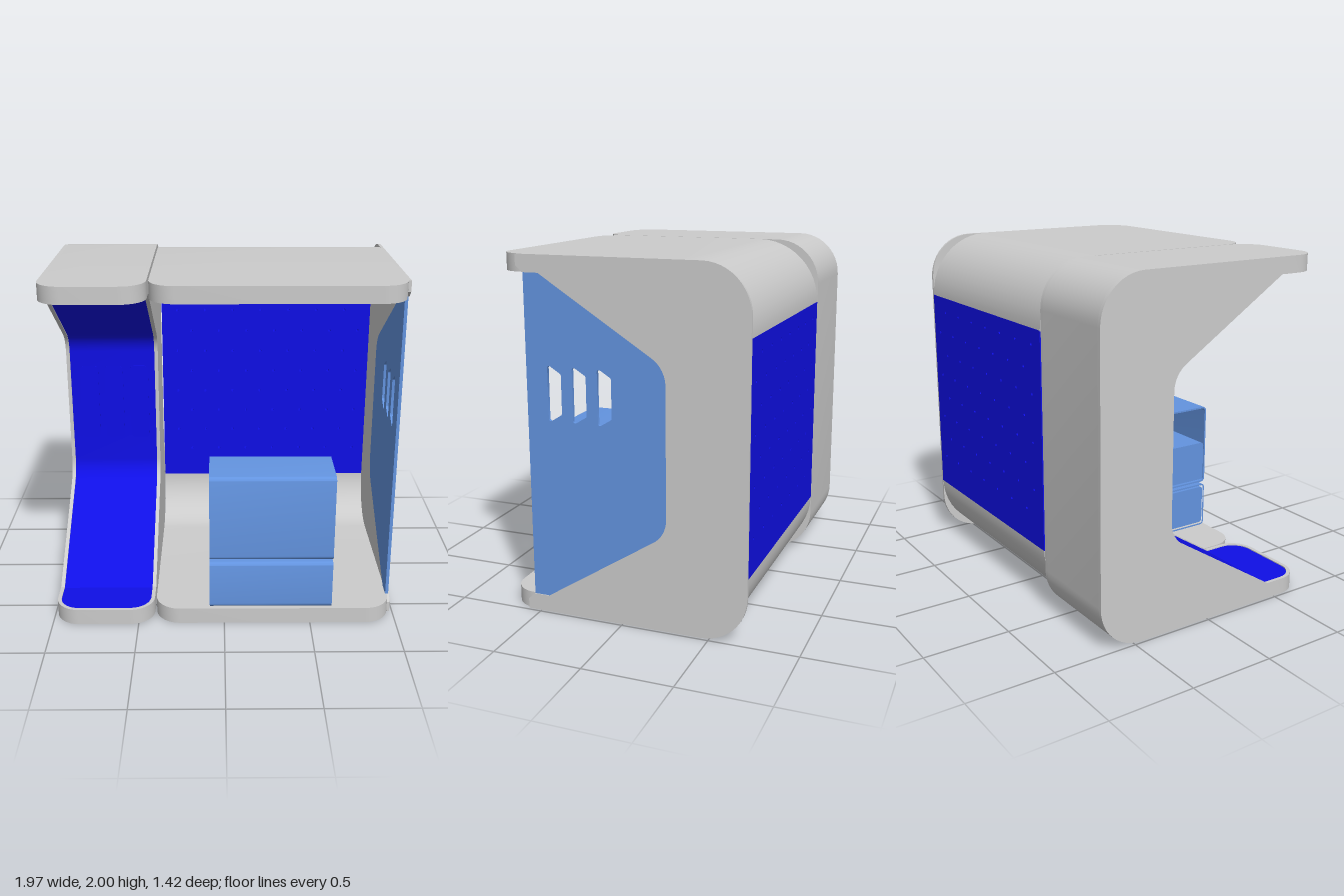
import * as THREE from 'three';
import { toCreasedNormals } from 'three/addons/utils/BufferGeometryUtils.js';

const grey = new THREE.MeshStandardMaterial({ color: 0xcccccc });
const blue = new THREE.MeshStandardMaterial({ color: 0x0f0fe6 });
const lightBlue = new THREE.MeshStandardMaterial({ color: 0x6394e0 });

// Polyline with circular corners: each corner is [a, b, radius?]
function fillet(corners) {
  const out = [];
  corners.forEach(([a, b, r], i) => {
    const p = new THREE.Vector2(a, b);
    if (!r) { out.push(p); return; }
    const next = corners[(i + 1) % corners.length], prev = corners[i - 1];
    const u = new THREE.Vector2(prev[0], prev[1]).sub(p).normalize();
    const v = new THREE.Vector2(next[0], next[1]).sub(p).normalize();
    const turn = Math.PI - Math.acos(THREE.MathUtils.clamp(u.dot(v), -1, 1));
    const t = r * Math.tan(turn / 2), h = t - r * 4 / 3 * Math.tan(turn / 4);
    const at = (d, s) => p.clone().addScaledVector(d, s);
    out.push(...new THREE.CubicBezierCurve(at(u, t), at(u, h), at(v, h), at(v, t)).getPoints(12));
  });
  return out;
}

function rect(a0, b0, a1, b1, r) {
  return fillet([[(a0 + a1) / 2, b0], [a1, b0, r], [a1, b1, r], [a0, b1, r], [a0, b0, r]]);
}

function extrude(points, depth, holes = []) {
  const shape = new THREE.Shape(points);
  shape.holes = holes.map((h) => new THREE.Path(h));
  return toCreasedNormals(new THREE.ExtrudeGeometry(shape, { depth, bevelEnabled: false }), 0.5);
}

// Side profile in (z, y), swept from x0 to x1
function alongX(points, x0, x1, holes = []) {
  const flip = (list) => list.map((p) => new THREE.Vector2(-p.x, p.y));
  return extrude(flip(points), x1 - x0, holes.map(flip)).rotateY(Math.PI / 2).translate(x0, 0, 0);
}

// Plan outline in (x, z), raised from y0 to y1
function alongY(points, y0, y1) {
  const flipped = points.map((p) => new THREE.Vector2(p.x, -p.y));
  return extrude(flipped, y1 - y0).rotateX(-Math.PI / 2).translate(0, y0, 0);
}

// Plan outline of a slab end with two rounded front corners
const slabPlan = (x0, x1, z0, z1, r) => fillet([[x0, z0], [x0, z1, r], [x1, z1, r], [x1, z0]]);

// Tapered opening seen from the side, set back by d
const opening = (d) => fillet([
  [0.5, 0.095 - d], [0.45 - 0.3 * d, 0.095 - d], [-0.26 - d, 0.55 - 0.4 * d, 0.164],
  [-0.26 - d, 1.45 + 0.4 * d, 0.164], [0.45 - 0.3 * d, 1.905 + d], [0.5, 1.905 + d]]);

export function createModel() {
  const model = new THREE.Group();
  const add = (name, geometry, material, parent = model) => {
    const mesh = new THREE.Mesh(geometry, material);
    mesh.name = name;
    parent.add(mesh);
    return mesh;
  };
  const group = (name) => {
    const g = new THREE.Group();
    g.name = name;
    model.add(g);
    return g;
  };

  // Narrow booth: solid C body, raised side rims, blue lining
  const booth = group('narrowBooth');
  const xa = -0.985, xb = -0.41, rim = 0.022, d = 0.012;
  const back = fillet([[0.5, 2], [-0.71, 2, 0.26], [-0.71, 0, 0.26], [0.5, 0]]);
  add('boothCore', alongX([...opening(d), ...back], xa + rim, xb - rim), grey, booth);
  for (const x of [xa, xb - rim])
    add('boothSideRim', alongX([...opening(0), ...back], x, x + rim), grey, booth);
  add('boothLining', alongX([...opening(0.006), ...opening(d).reverse()], xa + rim, xb - rim), blue, booth);
  const outer = slabPlan(xa, xb, 0.5, 0.71, 0.14);
  const inner = slabPlan(xa + rim, xb - rim, 0.5, 0.71 - rim, 0.118);
  const level = (top, y0, y1) => (top ? [2 - y1, 2 - y0] : [y0, y1]);
  for (const top of [false, true]) {
    const end = top ? 'Ceiling' : 'Floor';
    add(`booth${end}Slab`, alongY(outer, ...level(top, 0, 0.083)), grey, booth);
    add(`booth${end}Rim`, alongY([...outer, ...[...inner].reverse()], ...level(top, 0.083, 0.095)), grey, booth);
    add(`booth${end}Lining`, alongY(inner, ...level(top, 0.083, 0.089)), blue, booth);
  }
  // Three upright back cushions
  for (const x of [-0.905, -0.75, -0.59])
    add('backCushion', extrude(rect(x, 0.79, x + 0.115, 1.27, 0.025), 0.008).translate(0, 0, -0.269), blue, booth);

  // Wide room: shell with rounded back, open at the front
  const room = group('wideRoom');
  const x0 = -0.4, x1 = 0.97;
  for (const top of [false, true]) {
    const m = (y) => (top ? 2 - y : y);
    const end = top ? 'ceiling' : 'floor';
    const curve = fillet([[0.3, m(0)], [-0.71, m(0), 0.37], [-0.71, m(0.375)], [-0.62, m(0.375)],
      [-0.62, m(0.095), 0.275], [0.3, m(0.095)]]);
    add(`${end}Curve`, alongX(curve, x0, x1), grey, room);
    add(`${end}Slab`, alongY(slabPlan(x0, x1, 0.3, 0.7, 0.145), ...level(top, 0, 0.095)), grey, room);
  }

  // Back panel with staggered round holes
  const holes = [];
  for (let row = 0; row < 8; row++)
    for (let i = 0; i < 7; i++) {
      const dot = new THREE.Path();
      dot.absarc(-0.3 + i * 0.183 + (row % 2) * 0.0915, 1.54 - row * 0.139, 0.009, 0, Math.PI * 2, true);
      holes.push(dot.getPoints(4).slice(0, -1));
    }
  const backRect = [[x0, 0.37], [x1, 0.37], [x1, 1.63], [x0, 1.63]].map((p) => new THREE.Vector2(...p));
  add('perforatedBackPanel', extrude(backRect, 0.092, holes).translate(0, 0, -0.711), blue, room);

  // End wall framing a slotted panel
  const wall = fillet([[0.58, 0], [-0.71, 0, 0.26], [-0.71, 2, 0.26], [0.58, 2], [0.58, 1.94], [0.54, 1.905],
    [0.45, 1.905], [-0.26, 1.45, 0.164], [-0.26, 0.55, 0.164], [0.45, 0.095], [0.54, 0.095], [0.58, 0.06]]);
  add('endWall', alongX(wall, 0.968, 0.985), grey, room);
  const slots = [0.335, 0.19, 0.045].map((z) => fillet([
    [z + 0.08, 1.27], [z + 0.08, 1.425, 0.012], [z, 1.375, 0.015], [z, 1.155, 0.015], [z + 0.08, 1.105, 0.012]]));
  const panel = fillet([[0.54, 0.095], [0.45, 0.095], [-0.26, 0.55, 0.164], [-0.26, 1.45, 0.164],
    [0.45, 1.905], [0.54, 1.905]]);
  add('slottedEndPanel', alongX(panel, 0.962, 0.98, slots), lightBlue, room);

  // Cabinet: lower box in a closed sleeve, upper box in a wrap with a top lip
  const cabinet = group('cabinet');
  const c0 = -0.085, c1 = 0.625, t = 0.01;
  add('lowerSleeve', alongX(rect(0.25, 0.097, 0.69, 0.387, 0.025), c0, c1,
    [rect(0.25 + t, 0.097 + t, 0.69 - t, 0.387 - t, 0.015)]), lightBlue, cabinet);
  add('lowerBox', alongX(rect(0.27, 0.117, 0.675, 0.367, 0.02), c0, c1), lightBlue, cabinet);
  const wrap = (e) => fillet([[0.38, 0.918 - e], [0.69 - e, 0.918 - e, 0.027 - e], [0.69 - e, 0.403 + e, 0.027 - e],
    [0.25 + e, 0.403 + e, 0.027 - e], [0.25 + e, 0.675]]);
  add('upperWrap', alongX([...wrap(0), ...wrap(t).reverse()], c0, c1), lightBlue, cabinet);
  add('upperBox', alongX(rect(0.27, 0.423, 0.675, 0.675, 0.02), c0, c1), lightBlue, cabinet);

  return model;
}
